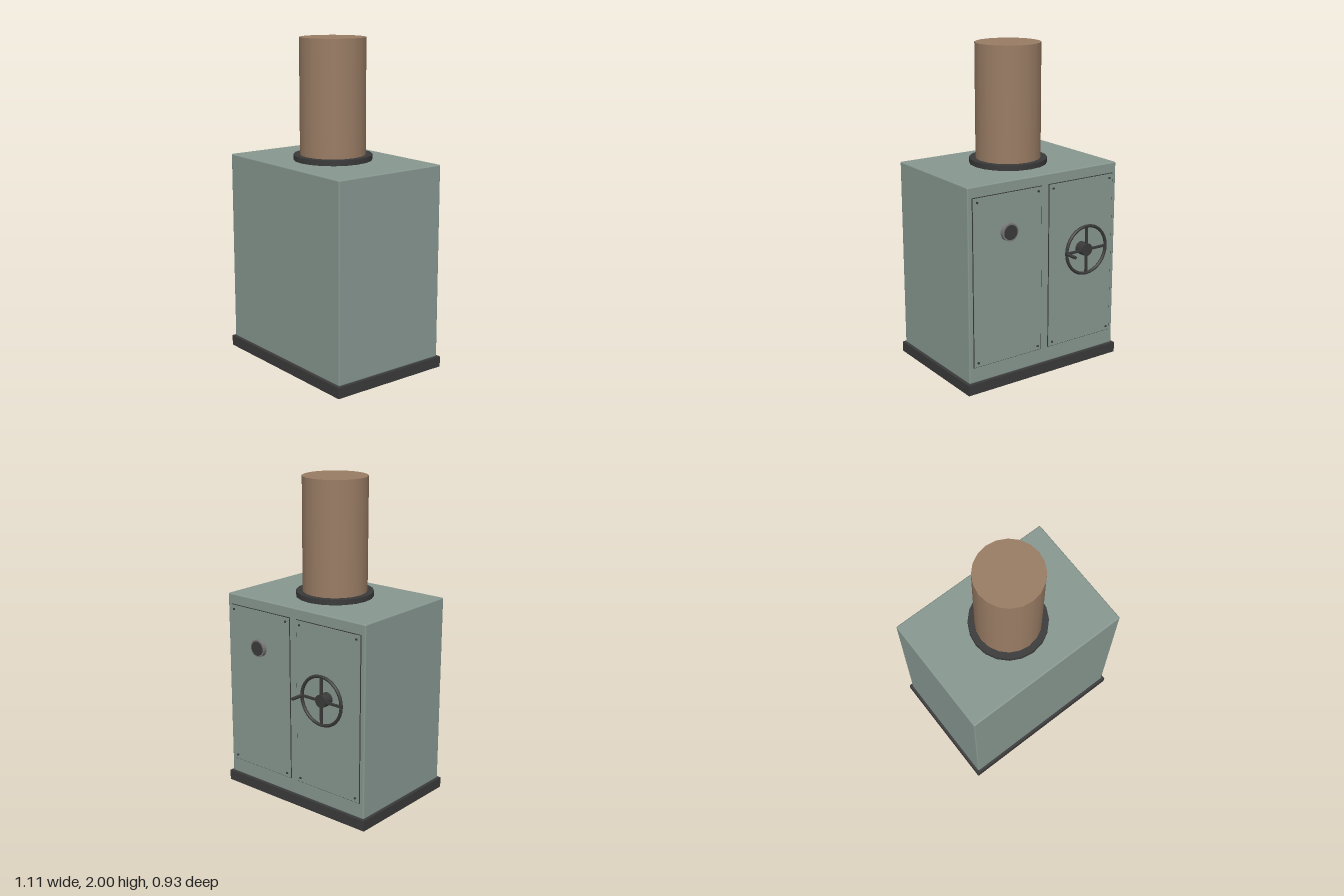
import * as THREE from 'three';
import { RoundedBoxGeometry } from 'three/addons/geometries/RoundedBoxGeometry.js';

const mat = (color) => new THREE.MeshStandardMaterial({ color });

export function createModel() {
  const model = new THREE.Group();
  const paint = mat(0x879790), dark = mat(0x3a3a3a), copper = mat(0x997c64), steel = mat(0x777777);

  function add(name, geometry, material, x, y, z, parent = model) {
    const mesh = new THREE.Mesh(geometry, material);
    mesh.name = name;
    mesh.position.set(x, y, z);
    parent.add(mesh);
    return mesh;
  }
  // Cylinder whose axis runs along z
  const disc = (r, depth, sides = 20) => new THREE.CylinderGeometry(r, r, depth, sides).rotateX(Math.PI / 2);

  // Plinth and cabinet
  add('base', new THREE.BoxGeometry(1.114, 0.065, 0.795), dark, 0, 0.0325, 0.0625);
  add('cabinet', new RoundedBoxGeometry(1.085, 1.2, 0.765, 2, 0.008), paint, 0, 0.665, 0.0625);

  // Chimney pipe and its collar
  add('pipeCollar', new THREE.CylinderGeometry(0.24, 0.24, 0.035, 20), dark, 0, 1.28, 0.0625);
  add('pipe', new THREE.CylinderGeometry(0.2, 0.2, 0.735, 20), copper, 0, 1.6325, 0.0625);

  // Two rear service panels with dark seams and corner bolts
  for (const side of [1, -1]) {
    const x = side * 0.27, y = 0.682;
    add('panelSeam', new THREE.BoxGeometry(0.488, 1.038, 0.006), dark, x, y, -0.321);
    add('panel', new THREE.BoxGeometry(0.48, 1.03, 0.01), paint, x, y, -0.323);
    for (const sx of [-1, 1]) for (const sy of [-1, 1])
      add('bolt', disc(0.007, 0.008, 8), dark, x + sx * 0.215, y + sy * 0.49, -0.33);
  }

  // Pressure gauge
  add('gaugeCase', disc(0.055, 0.026), steel, 0.27, 0.965, -0.34);
  add('gaugeFace', disc(0.045, 0.008), dark, 0.27, 0.965, -0.353);

  // Handwheel: hub, rim, four spokes and crank handle
  const wheel = new THREE.Group();
  wheel.name = 'handwheel';
  wheel.position.set(-0.27, 0.765, -0.382);
  model.add(wheel);
  add('hub', disc(0.04, 0.064), dark, 0, 0, 0.022, wheel);
  add('rim', new THREE.TorusGeometry(0.15, 0.01, 8, 32), dark, 0, 0, 0, wheel);
  for (let i = 0; i < 2; i++) {
    const spoke = add('spokePair', new THREE.BoxGeometry(0.3, 0.014, 0.012), dark, 0, 0, 0, wheel);
    spoke.rotation.z = i * Math.PI / 2;
  }
  add('crankHandle', disc(0.01, 0.085, 10), dark, 0.15, 0, -0.042, wheel);

  return model;
}
